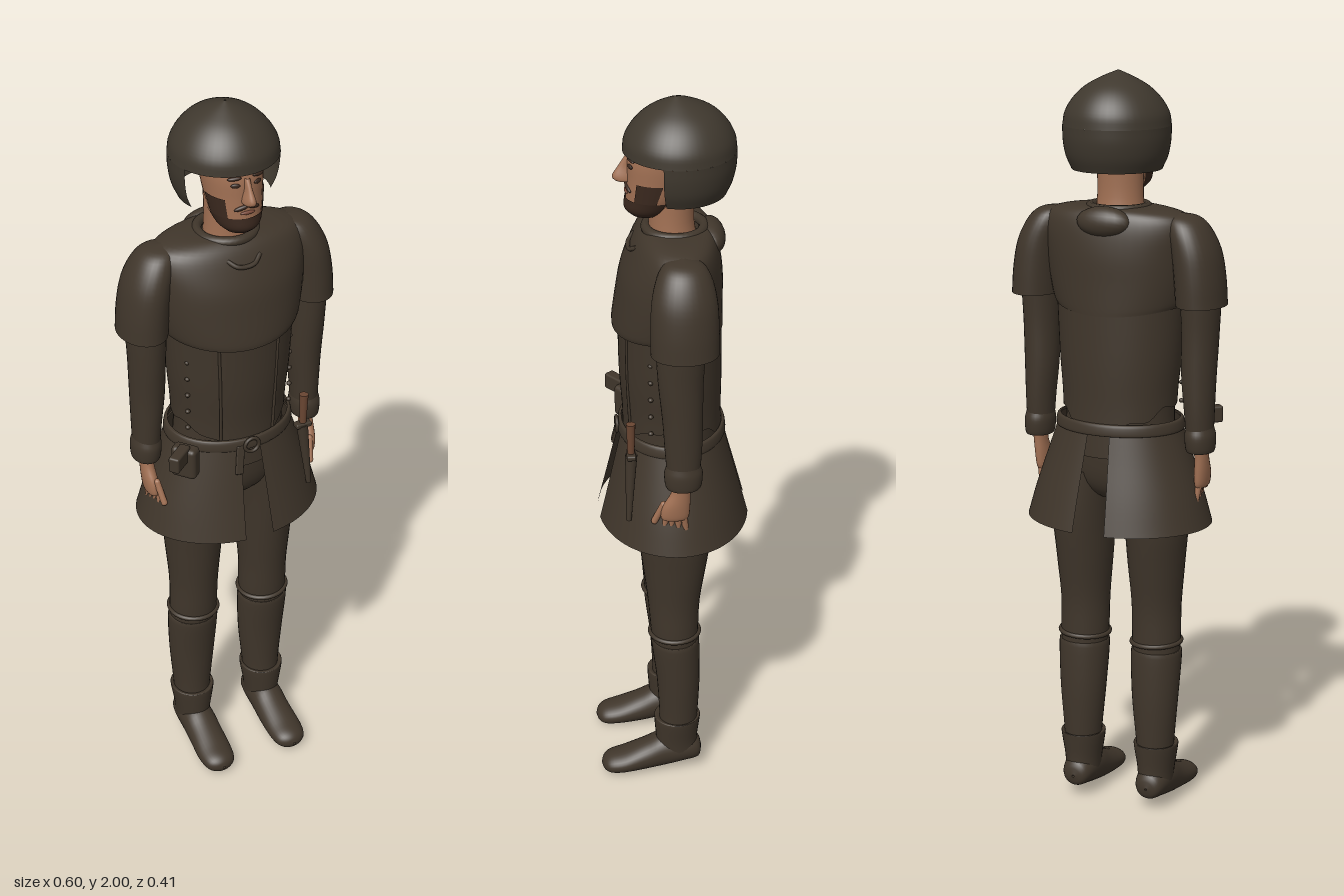
import * as THREE from 'three';
import { RoundedBoxGeometry } from 'three/addons/geometries/RoundedBoxGeometry.js';

const mat = (name, color, side = THREE.DoubleSide) => {
  const m = new THREE.MeshStandardMaterial({ color, side });
  m.name = name;
  return m;
};

// Smooth skin over elliptical rings [y, cx, cz, rx, rz], listed bottom to top.
// Angles run from the front (+z) toward +x.
function loft(rings, { start = 0, sweep = Math.PI * 2, seg = 32, sub = 4, hem = null } = {}) {
  const full = sweep > 6.28;
  const cols = full ? seg : seg + 1;
  const rows = (rings.length - 1) * sub + 1;
  const curve = new THREE.CubicInterpolant(rings.map((_, i) => i), rings.flat(), 5);
  const pos = [], idx = [];
  for (let i = 0; i < rows; i++) {
    const [y, cx, cz, rx, rz] = Array.from(curve.evaluate(i / sub));
    for (let j = 0; j < cols; j++) {
      const t = start + sweep * j / seg;
      pos.push(cx + Math.max(rx, 0.001) * Math.sin(t),
        y + (hem ? hem(t) * (1 - i / (rows - 1)) : 0),
        cz + Math.max(rz, 0.001) * Math.cos(t));
    }
  }
  for (let i = 0; i < rows - 1; i++) {
    for (let j = 0; j < seg; j++) {
      const a = i * cols + j, b = i * cols + (j + 1) % cols;
      idx.push(a, b, a + cols, b, b + cols, a + cols);
    }
  }
  const g = new THREE.BufferGeometry();
  g.setAttribute('position', new THREE.Float32BufferAttribute(pos, 3));
  g.setIndex(idx);
  g.computeVertexNormals();
  return g;
}

const tube = (pts, r) => new THREE.TubeGeometry(
  new THREE.CatmullRomCurve3(pts.map(p => new THREE.Vector3(...p))), 20, r, 8);

export function createModel() {
  const model = new THREE.Group();
  model.name = 'soldier';
  const leather = mat('dark leather', 0x40362b);
  const steel = mat('dark helmet steel', 0x3f382e);
  const skin = mat('skin', 0xa27154);
  const hair = mat('beard', 0x3a281e);
  const wood = mat('dagger wood', 0x6a4632);
  const lips = mat('lips', 0x7a4a3a);

  const add = (name, geo, material, p = [0, 0, 0], r = [0, 0, 0], s = [1, 1, 1]) => {
    const m = new THREE.Mesh(geo, material);
    m.name = name;
    m.position.set(...p);
    m.rotation.set(...r);
    m.scale.set(...s);
    model.add(m);
    return m;
  };
  const ball = new THREE.SphereGeometry(1, 20, 14);

  // Head and neck
  add('neck', loft([[1.6, 0, -0.008, 0.07, 0.065], [1.68, 0, -0.003, 0.061, 0.057],
    [1.8, 0, -0.005, 0.062, 0.06]]), skin);
  const face = [[1.688, 0, 0.06, 0.004, 0.004], [1.692, 0, 0.06, 0.034, 0.036], [1.71, 0, 0.053, 0.052, 0.06],
    [1.74, 0, 0.038, 0.065, 0.073], [1.79, 0, 0.022, 0.073, 0.087], [1.85, 0, 0.013, 0.078, 0.093],
    [1.91, 0, 0, 0.07, 0.08], [1.94, 0, -0.01, 0.03, 0.04]];
  add('head', loft(face), skin);
  add('nose', loft([[1.779, 0, 0.11, 0.002, 0.002], [1.782, 0, 0.112, 0.015, 0.024], [1.795, 0, 0.112, 0.015, 0.033],
    [1.82, 0, 0.108, 0.009, 0.022], [1.848, 0, 0.1, 0.008, 0.012]], { seg: 16 }), skin);
  const bearded = face.map(([y, x, z, a, b]) => [y, x, z, a + 0.003, b + 0.003]);
  add('beard', loft(bearded.slice(1, 4), { start: -1.9, sweep: 3.8 }), hair);
  for (const s of [-1, 1]) {
    add('sideburn', loft(bearded.slice(3, 5), { start: s * 1.15 - 0.4, sweep: 0.8, seg: 8 }), hair);
    add('eye', ball, hair, [s * 0.03, 1.83, 0.102], [0, s * 0.35, 0], [0.012, 0.006, 0.004]);
    add('eyebrow', ball, hair, [s * 0.032, 1.849, 0.1], [0, s * 0.35, -s * 0.1], [0.018, 0.005, 0.006]);
    add('moustache', ball, hair, [s * 0.016, 1.768, 0.107], [0, s * 0.25, -s * 0.3], [0.02, 0.006, 0.006]);
  }
  add('mouth', ball, lips, [0, 1.754, 0.11], [0, 0, 0], [0.02, 0.005, 0.005]);

  // Pointed helmet, open at the face
  add('helmetCrown', loft([[1.862, 0, -0.024, 0.14, 0.143], [1.895, 0, -0.024, 0.134, 0.138],
    [1.93, 0, -0.025, 0.113, 0.118], [1.96, 0, -0.025, 0.082, 0.087], [1.983, 0, -0.022, 0.042, 0.044],
    [2, 0, -0.016, 0.002, 0.002]], { seg: 48 }), steel);
  add('helmetGuard', loft([[1.75, 0, -0.024, 0.117, 0.119], [1.785, 0, -0.024, 0.132, 0.134],
    [1.825, 0, -0.024, 0.139, 0.142], [1.862, 0, -0.024, 0.14, 0.143]],
  { start: 1.2, sweep: Math.PI * 2 - 2.4, seg: 40 }), steel);

  // Breast mantle, collar and folded hood
  add('mantle', loft([[1.38, 0, 0.008, 0.18, 0.143], [1.4, 0, 0.008, 0.188, 0.143], [1.46, 0, 0.004, 0.2, 0.138],
    [1.53, 0, -0.002, 0.208, 0.131], [1.59, 0, -0.01, 0.212, 0.116], [1.63, 0, -0.015, 0.195, 0.1],
    [1.65, 0, -0.018, 0.14, 0.083], [1.657, 0, -0.015, 0.07, 0.064]],
  { seg: 48, hem: t => 0.02 * Math.sin(t) ** 2 }), leather);
  add('collar', new THREE.TorusGeometry(0.074, 0.013, 10, 36), leather, [0, 1.65, -0.012], [Math.PI / 2, 0, 0]);
  add('foldedHood', ball, leather, [0, 1.622, -0.106], [0.3, 0, 0], [0.075, 0.04, 0.034]);
  add('throatTrim', tube([[-0.045, 1.615, 0.088], [-0.025, 1.602, 0.104], [0, 1.598, 0.107],
    [0.025, 1.602, 0.104], [0.045, 1.615, 0.088]], 0.006), leather);

  // Doublet with ragged hem, seams and laces
  add('doublet', loft([[1.075, 0, -0.004, 0.155, 0.13], [1.14, 0, -0.003, 0.158, 0.13],
    [1.25, 0, 0, 0.167, 0.134], [1.42, 0, 0.002, 0.176, 0.134]],
  { seg: 64, hem: t => 0.06 * Math.sin(t) ** 2 + 0.01 * Math.sin(t * 9) * Math.sin(t / 2) }), leather);
  add('undershirt', loft([[1.0, 0, -0.003, 0.155, 0.124], [1.12, 0, -0.003, 0.148, 0.122],
    [1.25, 0, -0.002, 0.155, 0.126]]), leather);
  for (const s of [-1, 1]) {
    add('seam', tube([[s * 0.075, 1.09, 0.111], [s * 0.079, 1.25, 0.118], [s * 0.084, 1.39, 0.12]], 0.004), leather);
    for (let i = 0; i < 5; i++) {
      add('lace', ball, leather, [s * 0.147, 1.13 + i * 0.05, 0.064], [0, 0, 0], [0.007, 0.006, 0.007]);
    }
  }

  // Split skirt, belt and buckle
  for (const s of [-1, 1]) {
    add('skirtPanel', loft([[0.812, 0, -0.007, 0.255, 0.202], [0.9, 0, -0.006, 0.23, 0.18],
      [1.0, 0, -0.004, 0.196, 0.155], [1.09, 0, -0.003, 0.165, 0.133]],
    { start: s > 0 ? 0.157 : Math.PI + 0.18, sweep: Math.PI - 0.337, seg: 40 }), leather);
  }
  add('belt', loft([[1.064, 0, -0.003, 0.17, 0.136], [1.068, 0, -0.003, 0.177, 0.143],
    [1.092, 0, -0.003, 0.173, 0.14], [1.096, 0, -0.003, 0.164, 0.132]], { seg: 48 }), leather);
  add('buckle', new THREE.TorusGeometry(0.02, 0.005, 8, 20), leather, [0, 1.078, 0.142]);
  add('beltEnd', new RoundedBoxGeometry(0.022, 0.08, 0.008, 2, 0.003), leather, [-0.035, 1.04, 0.143], [-0.2, 0, -0.15]);
  add('hips', loft([[0.865, 0, 0, 0.02, 0.03], [0.885, 0, 0, 0.08, 0.08], [0.94, 0, 0, 0.15, 0.11],
    [1.05, 0, -0.002, 0.155, 0.122]]), leather);

  // Pouch and dagger
  add('pouch', new RoundedBoxGeometry(0.07, 0.09, 0.04, 3, 0.012), leather, [-0.172, 1.055, 0.1], [0, -0.88, 0]);
  add('pouchFlap', new RoundedBoxGeometry(0.03, 0.045, 0.075, 3, 0.006), leather, [-0.2, 1.085, 0.124], [0, -0.88, 0]);
  add('daggerHandle', new THREE.CylinderGeometry(0.012, 0.009, 0.1, 14), wood, [0.163, 1.122, 0.117], [0, 0, -0.02]);
  add('daggerGuard', new RoundedBoxGeometry(0.045, 0.014, 0.024, 2, 0.004), leather, [0.162, 1.078, 0.117]);
  add('scabbard', new THREE.CylinderGeometry(0.016, 0.007, 0.19, 14), leather, [0.17, 0.983, 0.121], [-0.05, 0, 0.1]);

  for (const s of [-1, 1]) {
    // Mirror ring centres to this side
    const side = rings => rings.map(([y, x, ...r]) => [y, s * x, ...r]);

    // Shoulder cape, sleeve and cuff
    add('shoulderCap', loft(side([[1.41, 0.236, -0.015, 0.064, 0.086], [1.48, 0.231, -0.015, 0.064, 0.086],
      [1.55, 0.22, -0.015, 0.062, 0.082], [1.605, 0.2, -0.016, 0.056, 0.068], [1.635, 0.185, -0.016, 0.04, 0.045],
      [1.645, 0.175, -0.016, 0.003, 0.003]])), leather);
    add('sleeve', loft(side([[1.05, 0.233, -0.012, 0.035, 0.042], [1.13, 0.231, -0.012, 0.039, 0.048],
      [1.22, 0.228, -0.01, 0.045, 0.052], [1.33, 0.229, -0.005, 0.048, 0.058], [1.44, 0.228, -0.006, 0.052, 0.064],
      [1.55, 0.215, -0.012, 0.05, 0.064]])), leather);
    add('cuff', loft(side([[1.018, 0.235, -0.012, 0.028, 0.036], [1.024, 0.235, -0.012, 0.037, 0.046],
      [1.06, 0.234, -0.012, 0.04, 0.05], [1.085, 0.233, -0.012, 0.036, 0.043]])), leather);

    // Hand with four fingers and a thumb
    add('palm', loft(side([[0.915, 0.232, 0.01, 0.006, 0.02], [0.925, 0.232, 0.01, 0.016, 0.036],
      [0.96, 0.234, 0.006, 0.019, 0.036], [1.0, 0.236, -0.005, 0.018, 0.026], [1.04, 0.236, -0.01, 0.02, 0.024]]),
    { seg: 20 }), skin);
    const finger = new THREE.CapsuleGeometry(0.0085, 0.065, 4, 10);
    for (let i = 0; i < 4; i++) {
      add('finger', finger, skin, [s * (0.228 - 0.004 * i), 0.888 + (i === 0 ? 0.008 : 0), -0.018 + 0.018 * i],
        [0.12 - i * 0.1, 0, -s * 0.15]);
    }
    add('thumb', new THREE.CapsuleGeometry(0.009, 0.06, 4, 10), skin, [s * 0.222, 0.935, 0.05], [-0.4, 0, -s * 0.15]);

    // Hose, boot shaft and garter
    add('leg', loft(side([[0.4, 0.108, -0.006, 0.06, 0.06], [0.48, 0.107, -0.002, 0.066, 0.065],
      [0.58, 0.106, 0, 0.067, 0.071], [0.7, 0.106, -0.002, 0.076, 0.087], [0.82, 0.105, -0.003, 0.083, 0.102],
      [0.95, 0.085, -0.002, 0.078, 0.105]])), leather);
    add('bootShaft', loft(side([[0.13, 0.11, -0.01, 0.048, 0.052], [0.2, 0.109, -0.013, 0.053, 0.054],
      [0.32, 0.108, -0.012, 0.064, 0.06], [0.44, 0.108, -0.004, 0.07, 0.066], [0.452, 0.108, -0.004, 0.063, 0.06]]),
    { hem: null }), leather);
    add('garter', new THREE.TorusGeometry(0.067, 0.0065, 8, 32), leather, [s * 0.107, 0.473, -0.002],
      [Math.PI / 2, s * 0.04, 0]);

    // Shoe: ankle collar and foot
    add('shoeCollar', loft(side([[0.06, 0.11, -0.012, 0.046, 0.056], [0.11, 0.11, -0.008, 0.05, 0.058],
      [0.172, 0.11, -0.009, 0.06, 0.064], [0.184, 0.11, -0.01, 0.059, 0.063], [0.18, 0.11, -0.011, 0.05, 0.052]])), leather);
    add('foot', loft(side([[-0.078, 0.11, -0.065, 0.003, 0.003], [-0.068, 0.11, -0.068, 0.033, 0.032],
      [-0.03, 0.11, -0.073, 0.046, 0.046], [0.03, 0.11, -0.066, 0.048, 0.053], [0.08, 0.11, -0.05, 0.049, 0.044],
      [0.14, 0.112, -0.035, 0.05, 0.033], [0.18, 0.112, -0.029, 0.043, 0.027], [0.198, 0.112, -0.027, 0.026, 0.017],
      [0.205, 0.112, -0.027, 0.003, 0.003]])), leather, [0, 0, 0], [Math.PI / 2, 0, 0]);
  }
  return model;
}
